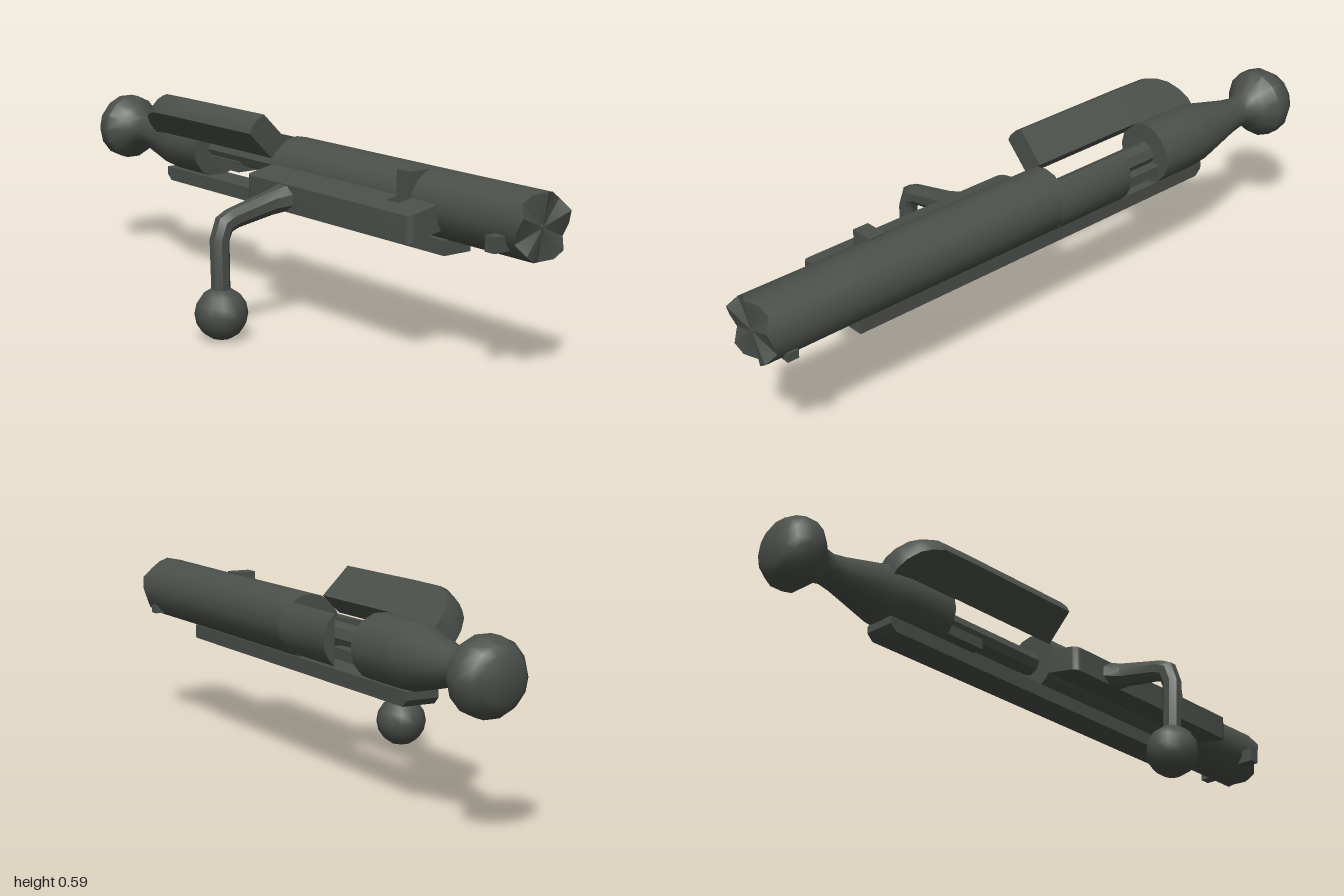
import * as THREE from 'three';
import { toCreasedNormals } from 'three/addons/utils/BufferGeometryUtils.js';

const AXIS_Y = 0.42, AXIS_Z = -0.187;

export function createModel() {
  const model = new THREE.Group();
  model.name = 'boltAssembly';
  const steel = new THREE.MeshStandardMaterial({ color: 0x4b504b });
  steel.name = 'darkSteel';

  // Parts that sit around the main axis
  const axial = new THREE.Group();
  axial.name = 'axialParts';
  axial.position.set(0, AXIS_Y, AXIS_Z);
  model.add(axial);

  function add(parent, name, geometry, crease = 0.6) {
    const mesh = new THREE.Mesh(toCreasedNormals(geometry, crease), steel);
    mesh.name = name;
    parent.add(mesh);
    return mesh;
  }

  // Box from its limits
  function box(parent, name, x0, x1, y0, y1, z0, z1) {
    const g = new THREE.BoxGeometry(x1 - x0, y1 - y0, z1 - z0);
    g.translate((x0 + x1) / 2, (y0 + y1) / 2, (z0 + z1) / 2);
    return add(parent, name, g);
  }

  // Turned profile of [x, radius] pairs along the x axis
  function turned(profile, sides) {
    const points = profile.map(([x, r]) => new THREE.Vector2(r, x));
    return new THREE.LatheGeometry(points, sides).rotateZ(-Math.PI / 2);
  }

  // Closed skin through equal rings of points, capped at both ends
  function loft(rings) {
    const n = rings[0].length, last = (rings.length - 1) * n, index = [];
    for (let i = 0; i < rings.length - 1; i++) {
      for (let j = 0; j < n; j++) {
        const a = i * n + j, b = i * n + (j + 1) % n;
        index.push(a, b, a + n, b, b + n, a + n);
      }
    }
    for (let j = 1; j < n - 1; j++) {
      index.push(0, j + 1, j, last, last + j, last + j + 1);
    }
    const g = new THREE.BufferGeometry();
    g.setAttribute('position', new THREE.Float32BufferAttribute(rings.flat(2), 3));
    g.setIndex(index);
    g.computeVertexNormals();
    return g;
  }

  // Main cylinder with an uneven front rim
  const body = turned([[-0.02, 0], [-0.02, 0.093], [0.68, 0.093], [0.985, 0.094], [0.985, 0]], 16);
  const p = body.attributes.position;
  for (let i = 0; i < p.count; i++) {
    if (p.getX(i) > 0.98 && Math.hypot(p.getY(i), p.getZ(i)) > 0.05) {
      const angle = Math.atan2(p.getZ(i), p.getY(i));
      p.setX(i, 0.985 + 0.015 * Math.sin(5 * angle + Math.PI / 2));
    }
  }
  add(axial, 'mainCylinder', body);
  add(axial, 'frontPin', turned([[0.97, 0], [0.97, 0.009], [0.988, 0.009], [0.988, 0]], 6));

  // Rear sleeve, tapered neck and end knob
  add(axial, 'rearSleeveAndKnob', turned([
    [-1, 0], [-1, 0.06], [-0.985, 0.082], [-0.95, 0.104], [-0.91, 0.104], [-0.873, 0.072],
    [-0.855, 0.053], [-0.82, 0.046], [-0.78, 0.052], [-0.63, 0.088], [-0.58, 0.093],
    [-0.42, 0.093], [-0.42, 0],
  ], 14), 0.75);

  // Rod and flat piece inside the open section
  add(axial, 'innerRod', turned([[-0.45, 0], [-0.45, 0.037], [0, 0.037], [0, 0]], 8));
  box(axial, 'innerSlide', -0.43, -0.26, -0.05, -0.018, -0.06, 0.038);

  // Back wall of the open section
  const wall = [-0.27, 0].map((x) => Array.from({ length: 7 }, (_, k) => {
    const t = -Math.PI / 2 + 0.896 * (k / 3 - 1);
    return [x, 0.093 * Math.cos(t), 0.093 * Math.sin(t)];
  }));
  add(axial, 'backWall', loft(wall));

  // Slanted wing plate with a rounded rear corner
  const h = Math.SQRT1_2;
  const stations = [
    [-0.645, 0.06, 0.1], [-0.632, 0.06, 0.135], [-0.605, 0.06, 0.17], [-0.575, 0.06, 0.19],
    [-0.535, 0.06, 0.205], [-0.42, 0.06, 0.207], [-0.419, 0.086, 0.207], [-0.03, 0.086, 0.207],
  ];
  add(axial, 'wingPlate', loft(stations.map(([x, a, r]) =>
    [[-0.037, a], [0.037, a], [0.037, r - 0.007], [0.016, r], [-0.016, r], [-0.037, r - 0.007]]
      .map(([o, d]) => [x, h * (d + o), h * (d - o)]))));

  // Bottom rail with a chamfered rear end
  const railShape = new THREE.Shape([
    [-0.625, 0.335], [-0.625, 0.312], [-0.605, 0.293], [0.68, 0.293], [0.68, 0.335],
  ].map(([x, y]) => new THREE.Vector2(x, y)));
  const rail = new THREE.ExtrudeGeometry(railShape, { depth: 0.096, bevelEnabled: false });
  add(model, 'bottomRail', rail.translate(0, 0, -0.23));

  // Side rib: rounded plate with a through slot, tilted down outward
  const rib = new THREE.Shape();
  rib.moveTo(-0.02, -0.16);
  rib.lineTo(0.69, -0.16);
  rib.lineTo(0.69, -0.02);
  rib.quadraticCurveTo(0.69, 0, 0.67, 0);
  rib.lineTo(0, 0);
  rib.quadraticCurveTo(-0.02, 0, -0.02, -0.02);
  rib.closePath();
  rib.holes.push(new THREE.Path([
    [0.535, -0.1], [0.535, -0.057], [0.585, -0.057], [0.585, -0.1],
  ].map(([x, z]) => new THREE.Vector2(x, z))));
  const ribGeo = new THREE.ExtrudeGeometry(rib, { depth: 0.075, bevelEnabled: false, curveSegments: 3 });
  ribGeo.rotateX(Math.PI / 2);
  const q = ribGeo.attributes.position;
  for (let i = 0; i < q.count; i++) q.setY(i, q.getY(i) + 0.42 - 0.2 * q.getZ(i));
  add(model, 'sideRib', ribGeo);

  // Small lugs
  box(model, 'topLug', 0.535, 0.585, 0.43, 0.512, -0.16, -0.09);
  box(model, 'frontHook', 0.905, 0.94, 0.36, 0.403, -0.12, -0.062).rotation.x = 0;
  box(model, 'backHook', 0.905, 0.94, 0.345, 0.37, -0.272, -0.235);

  // Bent handle: [outer z, outer y, inner z, inner y, half width]
  const bends = [
    [-0.02, 0.42, -0.02, 0.348, 0.06], [0, 0.417, 0, 0.344, 0.05],
    [0.04, 0.406, 0.045, 0.337, 0.028], [0.19, 0.368, 0.16, 0.317, 0.026],
    [0.225, 0.35, 0.183, 0.308, 0.026], [0.246, 0.29, 0.193, 0.285, 0.026],
    [0.24, 0.12, 0.19, 0.12, 0.026],
  ];
  add(model, 'handleArm', loft(bends.map(([oz, oy, iz, iy, w]) =>
    Array.from({ length: 8 }, (_, k) => {
      const t = (k + 0.5) * Math.PI / 4;
      const u = Math.cos(t) * 1.08, v = 0.5 + 0.5 * Math.sin(t) * 1.08;
      return [0.15 + w * u, iy + (oy - iy) * v, iz + (oz - iz) * v];
    }))));
  const ball = new THREE.SphereGeometry(0.076, 12, 8);
  add(model, 'handleBall', ball.translate(0.15, 0.076, 0.214), 0.9);

  return model;
}
